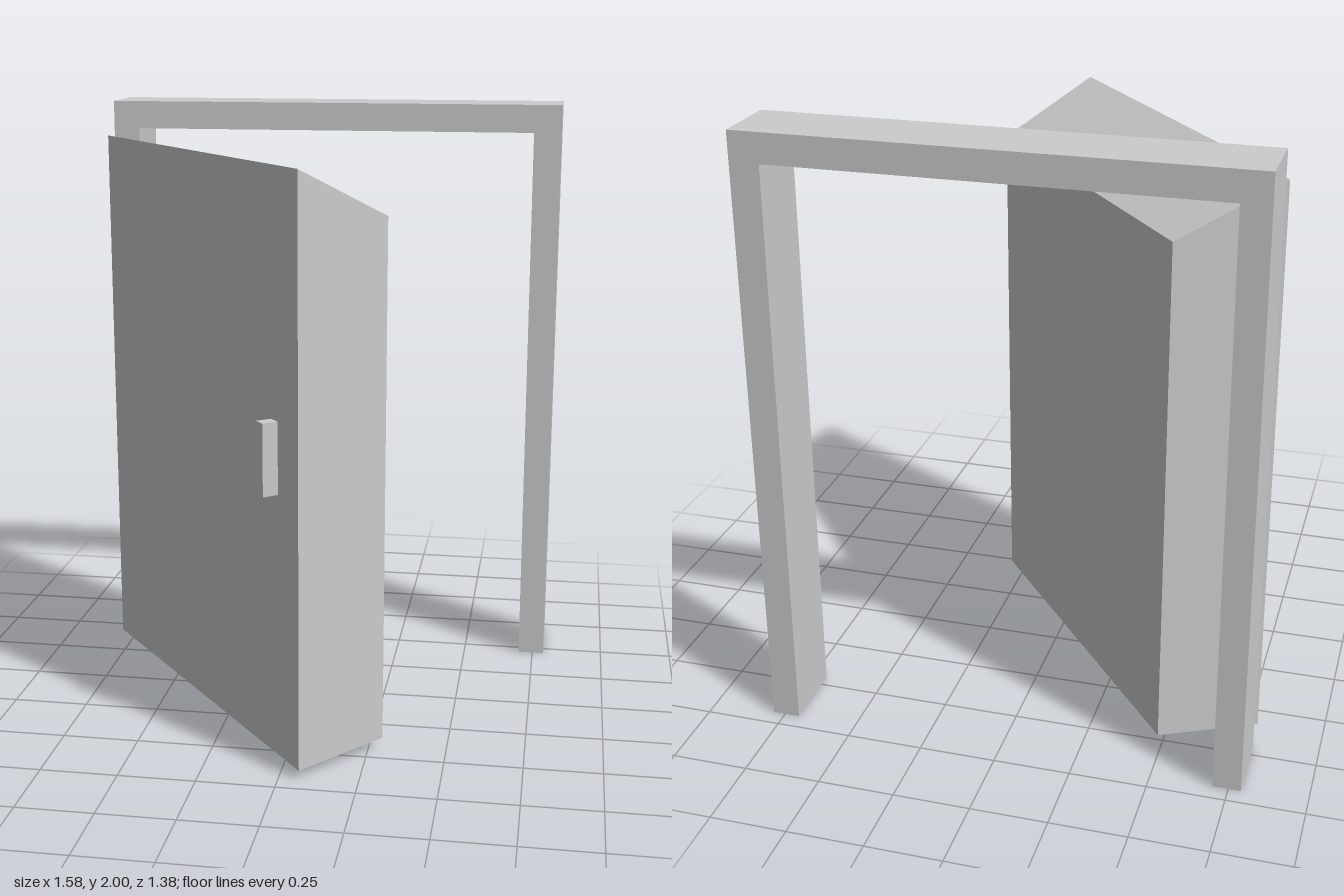
import * as THREE from 'three';

const material = new THREE.MeshStandardMaterial({ color: 0xcccccc, flatShading: true });

// Six-sided block from its four plan corners, each [x, z, bottom, top]:
// front start, front end, back end, back start.
function block(name, [frontStart, frontEnd, backEnd, backStart]) {
  const geometry = new THREE.BoxGeometry(1, 1, 1).toNonIndexed();
  const p = geometry.attributes.position;
  for (let i = 0; i < p.count; i++) {
    const end = p.getX(i) > 0;
    const front = p.getZ(i) > 0;
    const [x, z, bottom, top] = front ? (end ? frontEnd : frontStart) : (end ? backEnd : backStart);
    p.setXYZ(i, x, p.getY(i) > 0 ? top : bottom, z);
  }
  geometry.computeVertexNormals();
  const mesh = new THREE.Mesh(geometry, material);
  mesh.name = name;
  return mesh;
}

// Frame: one arch outline, open at the floor
function doorFrame() {
  const outline = [
    [-0.79, 0], [-0.7, 0], [-0.7, 1.905], [0.695, 1.905],
    [0.7, 0], [0.79, 0], [0.79, 2], [-0.79, 2],
  ].map(([x, y]) => new THREE.Vector2(x, y));
  const geometry = new THREE.ExtrudeGeometry(new THREE.Shape(outline), { depth: 0.237, bevelEnabled: false });
  geometry.translate(0, 0, -0.693);
  const mesh = new THREE.Mesh(geometry, material);
  mesh.name = 'doorFrame';
  return mesh;
}

export function createModel() {
  const model = new THREE.Group();
  model.name = 'openDoorway';
  model.add(doorFrame());

  // Thick door swung open, with a slanted hinge edge and a top sloping to the back
  const door = new THREE.Group();
  door.name = 'door';
  door.add(block('doorPanel', [
    [-0.79, -0.37, 0.03, 1.885],
    [0.065, 0.69, 0.03, 1.885],
    [0.295, 0.427, 0.036, 1.723],
    [-0.488, -0.526, 0.036, 1.723],
  ]));

  // Handle on the front of the door
  door.add(block('handle', [
    [-0.08, 0.593, 0.89, 1.12],
    [-0.054, 0.625, 0.89, 1.12],
    [-0.012, 0.591, 0.89, 1.12],
    [-0.038, 0.559, 0.89, 1.12],
  ]));
  model.add(door);
  return model;
}
